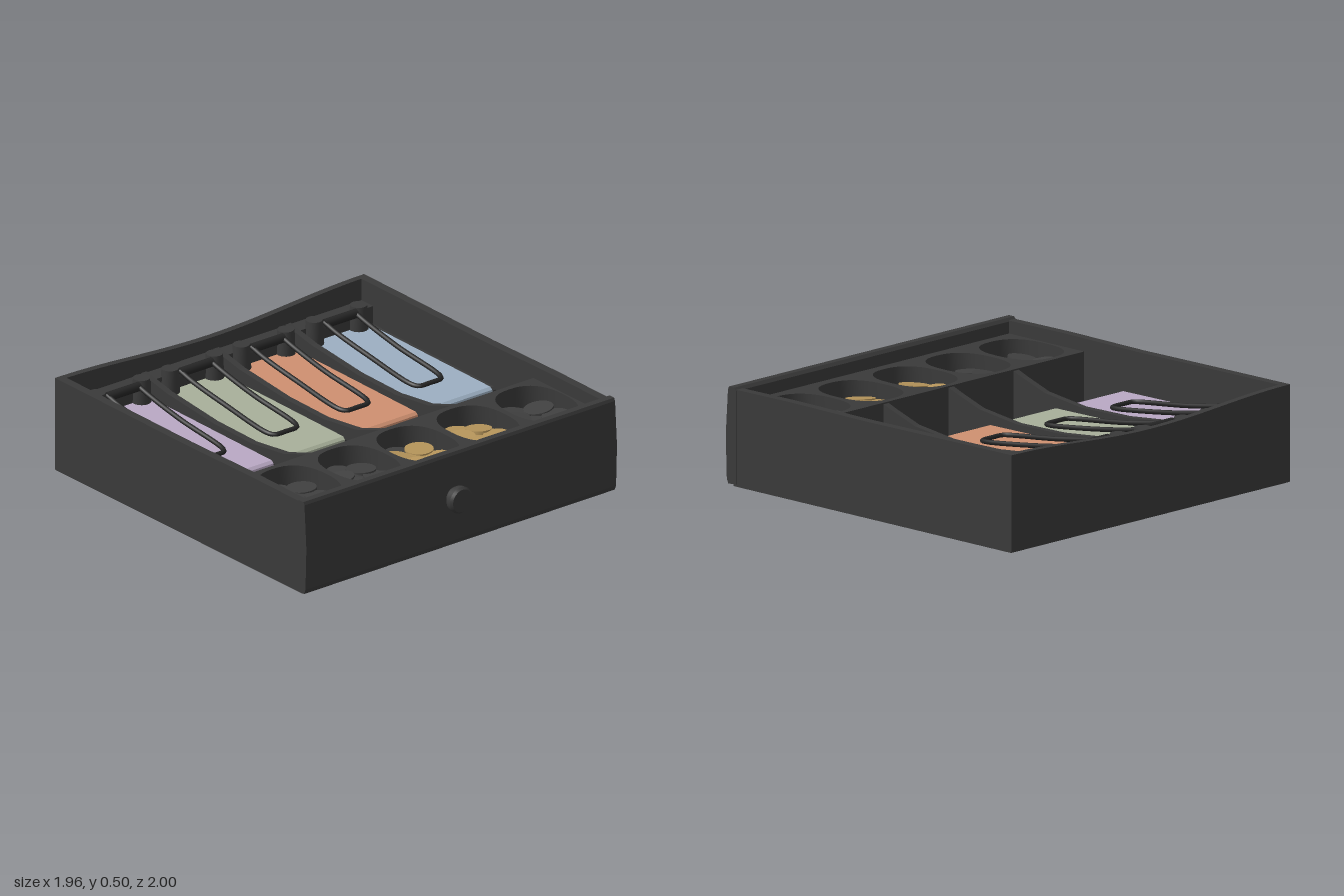
import * as THREE from 'three';
import { toCreasedNormals } from 'three/addons/utils/BufferGeometryUtils.js';

const mat = (name, color) => {
  const m = new THREE.MeshStandardMaterial({ color });
  m.name = name;
  return m;
};

export function createModel() {
  const model = new THREE.Group();
  model.name = 'cashDrawer';

  const shell = mat('charcoal', 0x3a3a3a);
  const black = mat('black', 0x262626);
  const coinGrey = mat('dark grey', 0x404040);
  const gold = mat('gold', 0xb5945a);
  const notes = [
    mat('lilac', 0xb9a8c4), mat('sage', 0xa8b09a),
    mat('terracotta', 0xcf9070), mat('pale blue', 0x9cafc2),
  ];

  const add = (name, geometry, material, x = 0, y = 0, z = 0, parent = model) => {
    const mesh = new THREE.Mesh(geometry, material);
    mesh.name = name;
    mesh.position.set(x, y, z);
    parent.add(mesh);
    return mesh;
  };
  const box = (name, x0, x1, y0, y1, z0, z1) =>
    add(name, new THREE.BoxGeometry(x1 - x0, y1 - y0, z1 - z0), shell,
      (x0 + x1) / 2, (y0 + y1) / 2, (z0 + z1) / 2);
  // Extrudes a (z, y) profile across the drawer, centred on x
  const acrossX = (points, width) => {
    const shape = new THREE.Shape(points.map(p => new THREE.Vector2(...p)));
    return new THREE.ExtrudeGeometry(shape, { depth: width, bevelEnabled: false })
      .rotateY(-Math.PI / 2).translate(width / 2, 0, 0);
  };

  // Outer shell
  box('floor', -0.97, 0.97, 0.005, 0.05, -0.99, 0.9);
  for (const s of [-1, 1]) {
    const side = acrossX([[-0.995, 0.008], [0.88, 0.015], [0.88, 0.495], [0.5, 0.498],
      [0, 0.493], [-0.5, 0.497], [-0.995, 0.5]], 0.045);
    add('sideWall', side, shell, s * 0.9525);
  }
  // Back wall with a gently sagging rim
  const back = new THREE.BoxGeometry(1.95, 0.49, 0.035, 24, 1, 1);
  const bp = back.attributes.position;
  for (let i = 0; i < bp.count; i++) {
    if (bp.getY(i) > 0) bp.setY(i, 0.245 - 0.045 * Math.cos(bp.getX(i) * Math.PI / 1.95) ** 2);
  }
  back.computeVertexNormals();
  add('backWall', back, shell, 0, 0.255, -0.9825);
  add('frontPanel', acrossX([[0.87, 0.02], [0.925, 0.015], [0.935, 0.04], [0.942, 0.26],
    [0.927, 0.49], [0.92, 0.505], [0.885, 0.505], [0.87, 0.49]], 1.96), shell);

  // Pull knob
  const knob = new THREE.LatheGeometry([[0, 0], [0.056, 0], [0.058, 0.016], [0.067, 0.022],
    [0.07, 0.05], [0.06, 0.064], [0, 0.066]].map(p => new THREE.Vector2(...p)), 32);
  add('knob', toCreasedNormals(knob.rotateX(Math.PI / 2), 0.6), shell, -0.04, 0.27, 0.934);

  // Note compartments: raised bed that steps down at the front, thin note and wire clip in each
  const top = [[-0.88, 0.292], [0.06, 0.282], [0.075, 0.27], [0.1, 0.145], [0.28, 0.14]];
  const bed = [[0.28, 0.04], [-0.9, 0.04], ...top];
  const sheet = [...top.map(([z, y]) => [z + 0.004, y + 0.007]), ...[...top].reverse()];
  const spans = [[-0.9, -0.48], [-0.43, -0.03], [0.03, 0.43], [0.48, 0.9]];
  const clipX = [-0.68, -0.22, 0.23, 0.69];
  spans.forEach(([x0, x1], i) => {
    const mid = (x0 + x1) / 2;
    add('noteBed', acrossX(bed, x1 - x0 + 0.05), shell, mid);
    add('banknote', acrossX(sheet, x1 - x0), notes[i], mid);

    const clip = new THREE.Group();
    clip.name = 'noteClip';
    clip.position.x = clipX[i];
    model.add(clip);
    // Long U-shaped wire, sloping down onto the note
    const wire = new THREE.CatmullRomCurve3([
      [-0.095, 0.405, -0.84], [-0.095, 0.38, -0.74], [-0.09, 0.34, -0.5], [-0.088, 0.302, -0.18],
      [-0.07, 0.299, -0.145], [0, 0.299, -0.14],
      [0.07, 0.299, -0.145], [0.088, 0.302, -0.18], [0.09, 0.34, -0.5], [0.095, 0.38, -0.74],
      [0.095, 0.405, -0.84],
    ].map(p => new THREE.Vector3(...p)), false, 'centripetal');
    add('clipWire', new THREE.TubeGeometry(wire, 80, 0.0125, 8), black, 0, 0, 0, clip);
    add('clipSpring', new THREE.CylinderGeometry(0.024, 0.024, 0.2, 14).rotateZ(Math.PI / 2),
      black, 0, 0.4, -0.835, clip);
    // Rounded lugs that carry the spring
    for (const s of [-1, 1]) {
      const lug = new THREE.CylinderGeometry(0.042, 0.05, 0.14, 20);
      add('clipLug', toCreasedNormals(lug, 0.6), shell, s * 0.14, 0.355, -0.865, clip);
    }
  });
  box('backLedge', -0.94, 0.94, 0.04, 0.385, -0.98, -0.875);

  // Dividers dip in the middle and rise to the coin tray
  for (const x of [-0.455, 0, 0.455]) {
    add('divider', acrossX([[-0.95, 0.04], [0.38, 0.04], [0.38, 0.43], [0.3, 0.4],
      [0.15, 0.35], [-0.1, 0.32], [-0.4, 0.325], [-0.75, 0.36], [-0.95, 0.4]], 0.035), shell, x);
  }

  // Coin tray with five oval cups
  const cups = [-0.745, -0.37, 0, 0.38, 0.75];
  const trayShape = new THREE.Shape([[-0.94, -0.88], [0.94, -0.88], [0.94, -0.36], [-0.94, -0.36]]
    .map(p => new THREE.Vector2(...p)));
  for (const x of cups) {
    const pts = [];
    for (let k = 0; k < 40; k++) {
      const a = k / 40 * Math.PI * 2, c = Math.cos(a), s = Math.sin(a);
      pts.push(new THREE.Vector2(x + 0.17 * Math.sign(c) * Math.abs(c) ** 0.8,
        -0.605 + 0.215 * Math.sign(s) * Math.abs(s) ** 0.8));
    }
    trayShape.holes.push(new THREE.Path(pts));
  }
  const tray = new THREE.ExtrudeGeometry(trayShape, { depth: 0.15, bevelEnabled: false });
  add('coinTray', toCreasedNormals(tray.rotateX(-Math.PI / 2), 0.6), shell, 0, 0.28, 0);
  box('coinTrayBase', -0.94, 0.94, 0.04, 0.285, 0.36, 0.88);

  // Loose coins: a lower layer and a tilted upper layer in every cup
  let seed = 7;
  const rand = () => (seed = (seed * 16807) % 2147483647) / 2147483647 - 0.5;
  const spots = [[-0.025, -0.125], [0.075, -0.085], [-0.085, -0.05], [0.005, 0.0],
    [0.085, 0.04], [-0.08, 0.07], [0.015, 0.13]];
  cups.forEach((x, i) => {
    const coins = new THREE.Group();
    coins.name = 'coins';
    coins.position.set(x, 0, 0.61);
    model.add(coins);
    for (let layer = 0; layer < 2; layer++) {
      spots.forEach(([dx, dz], k) => {
        const isGold = i === 3 || (i === 2 && k > 0);
        const flip = layer ? 1 : -1;
        const r = 0.073 + 0.012 * rand();
        const coin = add('coin', new THREE.CylinderGeometry(r, r, 0.018, 24), isGold ? gold : coinGrey,
          dx * flip + 0.012 * rand(), 0.3 + layer * 0.04 + (k % 3) * 0.008,
          dz + 0.012 * rand(), coins);
        coin.rotation.set(0.3 * rand(), 0, 0.3 * rand());
      });
    }
  });

  return model;
}
